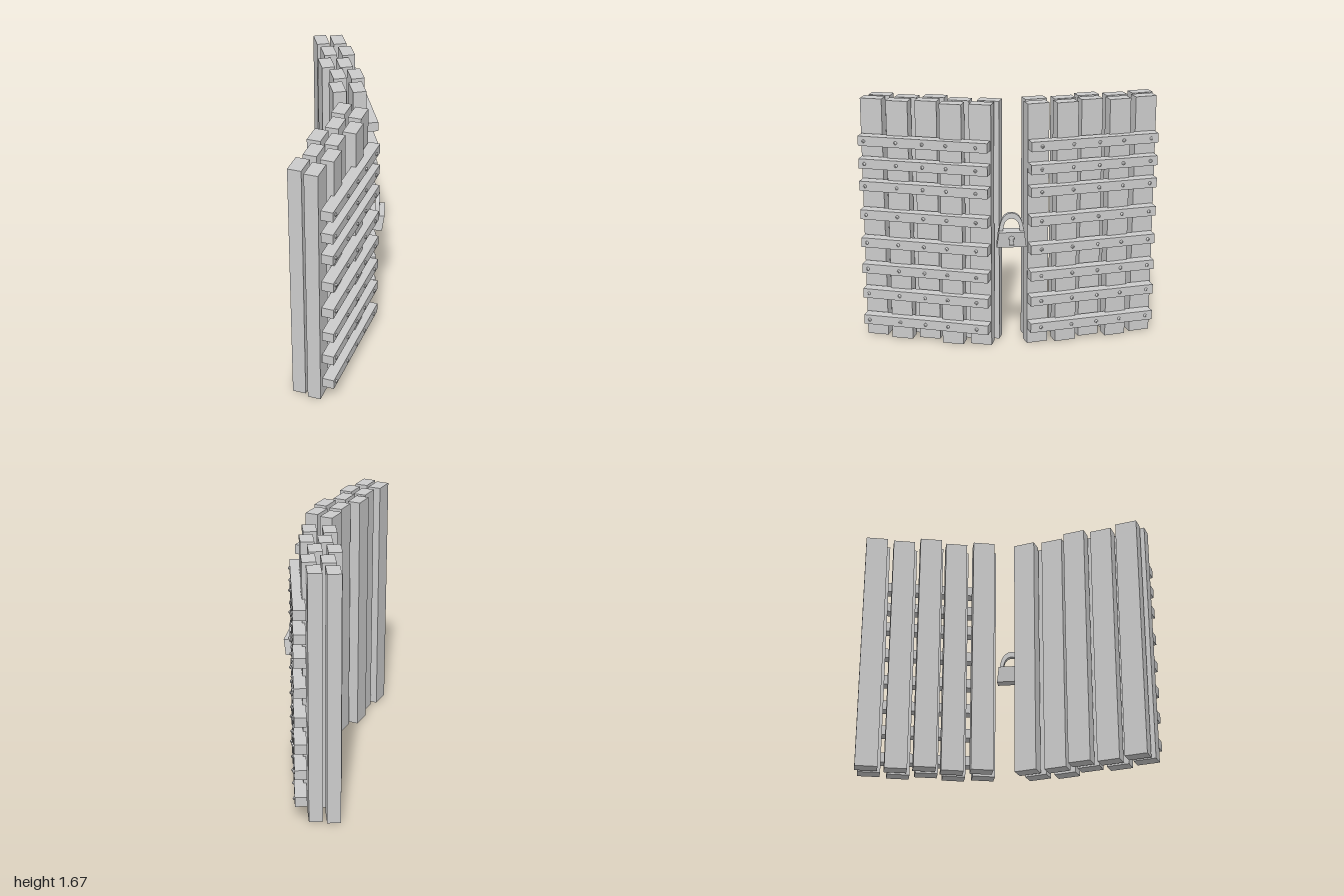
import * as THREE from 'three';

const material = new THREE.MeshStandardMaterial({ color: 0xcccccc, flatShading: true });
const HEIGHT = 1.675;
const RAIL_HEIGHTS = [0.14, 0.333, 0.513, 0.7, 0.898, 1.098, 1.252, 1.407];

// Plank centres are [x, z]; turn is the rotation about y.
const DOORS = [
  {
    name: 'rightDoor', plankTurn: -0.275, railTurn: -0.292, rail: [0.082, 0.562],
    back: [[-0.002, 0.125], [-0.03, 0.32], [-0.13, 0.48], [-0.14, 0.665], [-0.218, 0.84]],
    front: [[0.105, 0.183], [0.082, 0.375], [-0.022, 0.533], [-0.034, 0.722], [-0.117, 0.893]],
    nails: [-0.36, -0.16, 0, 0.18, 0.4],
  },
  {
    name: 'leftDoor', plankTurn: 0.255, railTurn: 0.225, rail: [0.09, -0.558],
    back: [[-0.198, -0.9], [-0.135, -0.72], [-0.14, -0.53], [-0.052, -0.365], [-0.045, -0.172]],
    front: [[-0.082, -0.907], [-0.013, -0.727], [-0.018, -0.54], [0.066, -0.372], [0.085, -0.178]],
    nails: [-0.39, -0.197, -0.03, 0.15, 0.367],
  },
];

function add(parent, name, geometry, x = 0, y = 0, z = 0) {
  const mesh = new THREE.Mesh(geometry, material);
  mesh.name = name;
  mesh.position.set(x, y, z);
  parent.add(mesh);
  return mesh;
}

function createDoor(spec) {
  const door = new THREE.Group();
  door.name = spec.name;

  // Two staggered rows of upright planks
  const plank = new THREE.BoxGeometry(0.088, HEIGHT, 0.147);
  for (const row of ['back', 'front']) {
    for (const [x, z] of spec[row]) {
      add(door, row + 'Plank', plank, x, HEIGHT / 2, z).rotation.y = spec.plankTurn;
    }
  }

  // Cross rails with round nail heads on the outer face
  const beam = new THREE.BoxGeometry(0.078, 0.066, 0.88);
  const head = new THREE.SphereGeometry(0.012, 10, 6);
  for (const y of RAIL_HEIGHTS) {
    const rail = new THREE.Group();
    rail.name = 'crossRail';
    rail.position.set(spec.rail[0], y, spec.rail[1]);
    rail.rotation.y = spec.railTurn;
    add(rail, 'railBeam', beam);
    for (const t of spec.nails) add(rail, 'nailHead', head, 0.039, 0, t);
    door.add(rail);
  }
  return door;
}

// Extrudes a z-y profile along x, from x0 to x1
function extrudeAlongX(shape, x0, x1) {
  const geometry = new THREE.ExtrudeGeometry(shape, { depth: x1 - x0, bevelEnabled: false, curveSegments: 16 });
  return geometry.rotateY(Math.PI / 2).translate(x0, 0, 0);
}

function createPadlock() {
  const lock = new THREE.Group();
  lock.name = 'padlock';
  lock.position.set(0.234, 0.74, -0.005);

  // Body: wider across at the bottom, thinner front to back at the bottom
  const bodyShape = () => new THREE.Shape([
    new THREE.Vector2(-0.098, 0), new THREE.Vector2(0.098, 0),
    new THREE.Vector2(0.084, 0.107), new THREE.Vector2(-0.084, 0.107),
  ]);
  const taper = (geometry) => {
    const p = geometry.attributes.position;
    for (let i = 0; i < p.count; i++) p.setX(i, p.getX(i) * (0.68 + 0.32 * p.getY(i) / 0.107));
    geometry.computeVertexNormals();
    return geometry;
  };

  // The face layer carries a recessed keyhole
  const face = bodyShape();
  const keyhole = new THREE.Path();
  keyhole.moveTo(0.015, 0.012);
  keyhole.lineTo(0.01, 0.048);
  keyhole.absarc(0, 0.063, 0.018, -0.98, Math.PI + 0.98, false);
  keyhole.lineTo(-0.015, 0.012);
  keyhole.closePath();
  face.holes.push(keyhole);
  add(lock, 'lockBody', taper(extrudeAlongX(bodyShape(), -0.048, 0.028)));
  add(lock, 'lockFace', taper(extrudeAlongX(face, 0.028, 0.048)));

  // Flat arched shackle
  const shackle = new THREE.Shape();
  shackle.moveTo(0.083, 0.1);
  shackle.bezierCurveTo(0.075, 0.19, 0.045, 0.23, 0, 0.23);
  shackle.bezierCurveTo(-0.045, 0.23, -0.075, 0.19, -0.083, 0.1);
  shackle.lineTo(-0.055, 0.1);
  shackle.bezierCurveTo(-0.055, 0.16, -0.035, 0.192, 0, 0.192);
  shackle.bezierCurveTo(0.035, 0.192, 0.055, 0.16, 0.055, 0.1);
  shackle.closePath();
  add(lock, 'shackle', extrudeAlongX(shackle, -0.016, 0.014));
  return lock;
}

export function createModel() {
  const model = new THREE.Group();
  model.name = 'gate';
  for (const spec of DOORS) model.add(createDoor(spec));
  model.add(createPadlock());
  return model;
}
